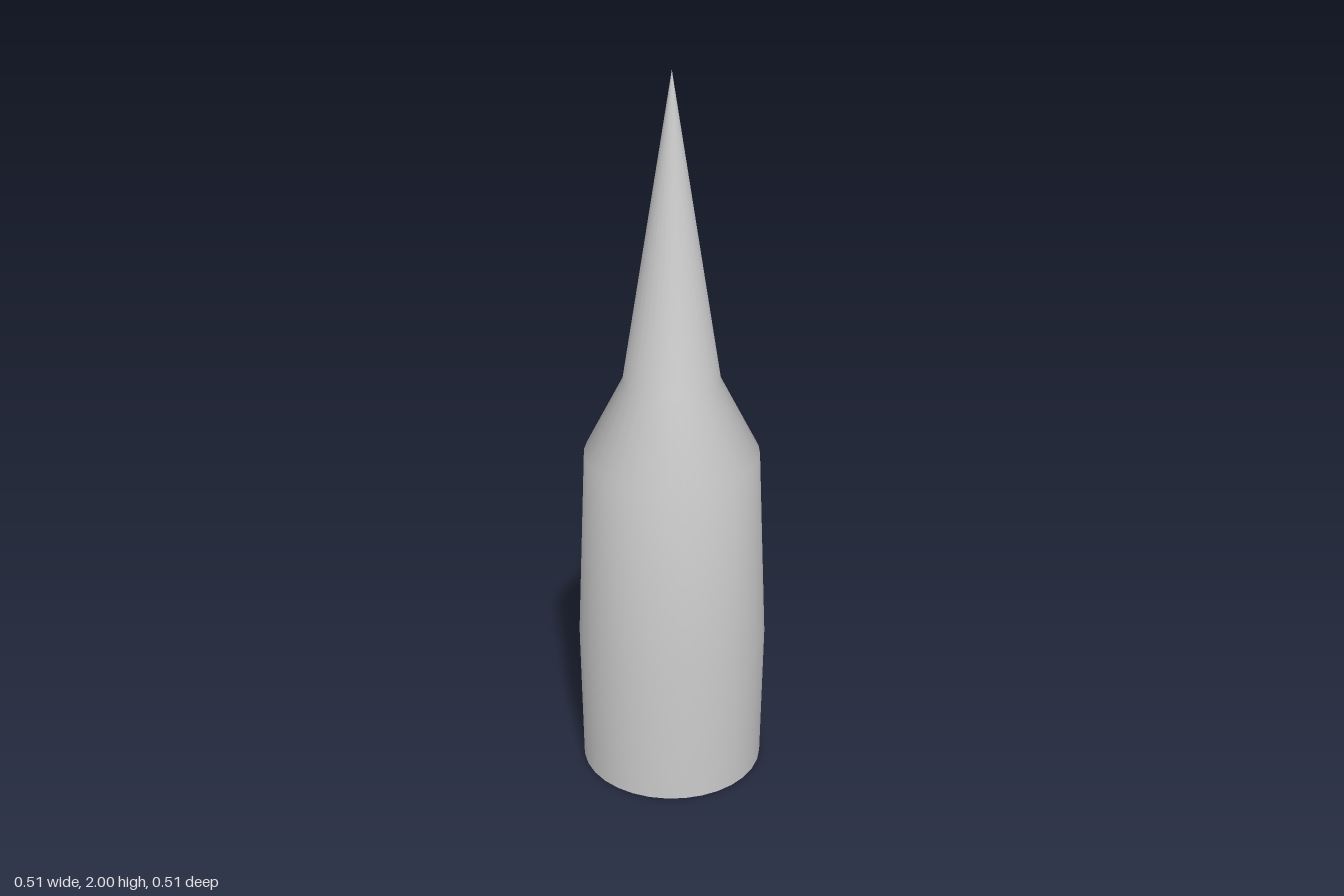
import * as THREE from 'three';

const SIDES = 32;

export function createModel() {
  const group = new THREE.Group();
  const material = new THREE.MeshStandardMaterial({ color: 0xcccccc });

  // Slightly bulging body, sloped shoulder and long pointed tip in one smooth shell
  const profile = [
    [0.25, 0],
    [0.257, 0.4],
    [0.235, 0.95],
    [0.13, 1.16],
    [0, 2],
  ].map(([r, y]) => new THREE.Vector2(r, y));
  const shell = new THREE.Mesh(new THREE.LatheGeometry(profile, SIDES), material);
  shell.name = 'bodyAndTip';
  group.add(shell);

  // Flat underside, facing down
  const base = new THREE.Mesh(new THREE.CircleGeometry(0.25, SIDES), material);
  base.rotation.x = Math.PI / 2;
  base.name = 'base';
  group.add(base);

  return group;
}
